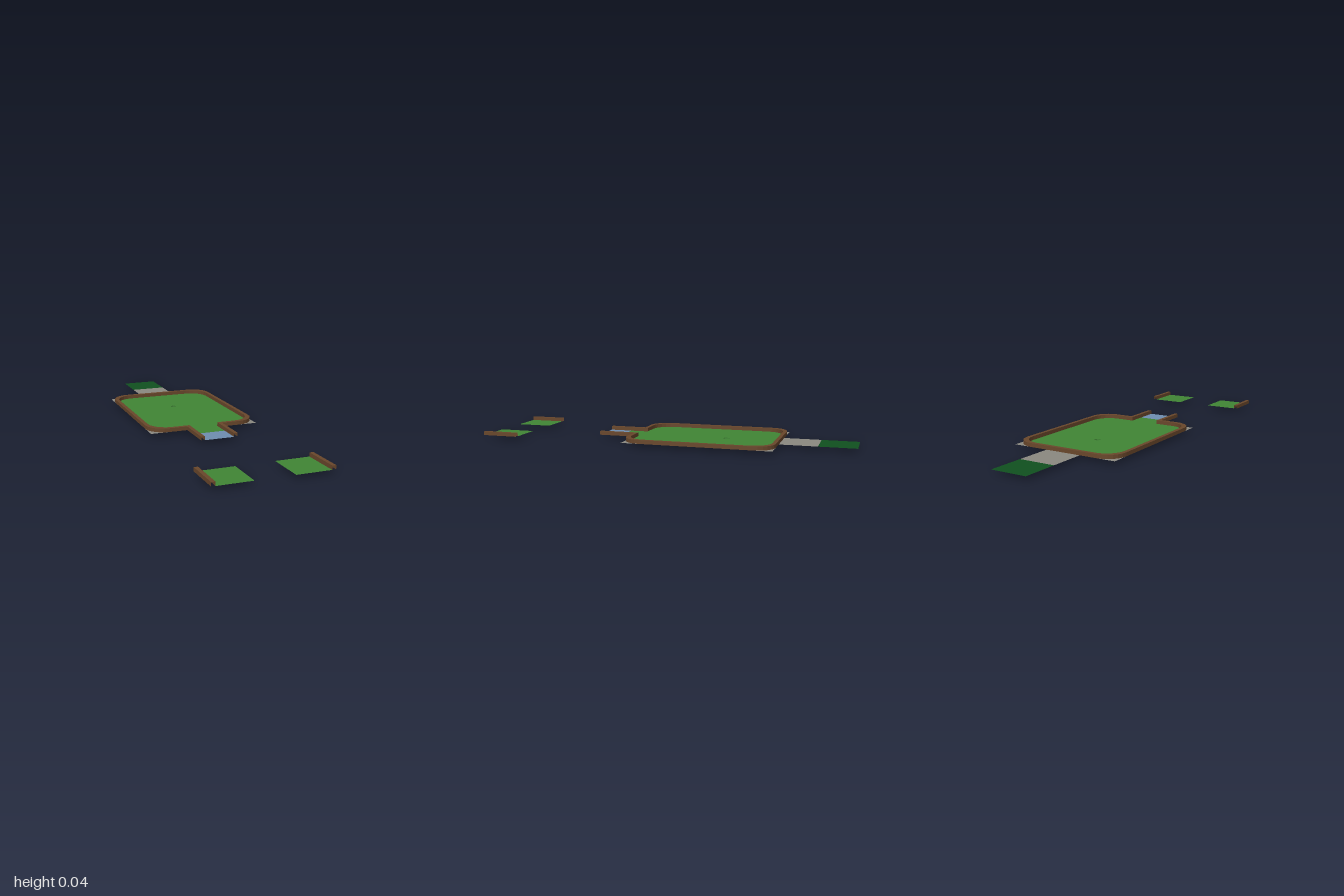
import * as THREE from 'three';
import { mergeGeometries } from 'three/addons/utils/BufferGeometryUtils.js';

const T = 0.1986, FLOOR = 0.02, TOP = 0.04, WALL = 0.02;   // tile size, levels, wall thickness
const X = 1.5 * T, NECK = T / 2;                           // half widths
const BACK = 1 - 2 * T, FRONT = BACK - 4 * T, END = FRONT - T; // plan coordinates, v = -z
const R = 0.1;

const mat = (color) => new THREE.MeshStandardMaterial({ color, side: THREE.DoubleSide, flatShading: true });
const green = mat(0x408535), darkGreen = mat(0x10501f), grey = mat(0x8b8880);
const blue = mat(0x6f8eb0), brown = mat(0x69472b);
const v2 = (x, v) => new THREE.Vector2(x, v);

// Quarter arc bulging towards the corner (x, v), from angle a
function arc(x, v, a) {
  const cx = x - Math.sign(x) * R, cv = v === BACK || v === BACK - WALL ? v - R : v + R;
  return Array.from({ length: 7 }, (_, i) => {
    const t = a + (i / 6) * Math.PI / 2;
    return v2(cx + R * Math.cos(t), cv + R * Math.sin(t));
  });
}

// Counter-clockwise outline of the green with its neck, inset by d
function outline(d) {
  const n = NECK - d, x = X - d, f = FRONT + d, b = BACK - d;
  return [v2(n, END), v2(n, f),
    ...arc(x, f, -Math.PI / 2), ...arc(x, b, 0), ...arc(-x, b, Math.PI / 2), ...arc(-x, f, Math.PI),
    v2(-n, f), v2(-n, END)];
}

function flat(shape, y) {
  return new THREE.ShapeGeometry(shape).rotateX(-Math.PI / 2).translate(0, y, 0);
}

// Vertical ribbon facing to the right of the path
function ribbon(pts, y0, y1) {
  const pos = [];
  for (let i = 0; i < pts.length - 1; i++) {
    const p = pts[i], q = pts[i + 1];
    pos.push(p.x, y0, -p.y, q.x, y0, -q.y, q.x, y1, -q.y);
    pos.push(p.x, y0, -p.y, q.x, y1, -q.y, p.x, y1, -p.y);
  }
  const g = new THREE.BufferGeometry();
  g.setAttribute('position', new THREE.Float32BufferAttribute(pos, 3));
  g.computeVertexNormals();
  return g;
}

// Kerb open at the ends and underneath: outer side, inner side and top
function kerb(outer, inner) {
  const back = [...inner].reverse();
  const top = flat(new THREE.Shape([...outer, ...back]), TOP).toNonIndexed();
  top.deleteAttribute('uv');
  return mergeGeometries([ribbon(outer, FLOOR, TOP), ribbon(back, FLOOR, TOP), top]);
}

export function createModel() {
  const group = new THREE.Group();
  const add = (name, geo, material) => {
    const m = new THREE.Mesh(geo, material);
    m.name = name;
    group.add(m);
    return m;
  };
  const patch = (name, x0, x1, v0, v1, material) =>
    add(name, flat(new THREE.Shape([v2(x0, v0), v2(x1, v0), v2(x1, v1), v2(x0, v1)]), FLOOR), material);

  const outer = outline(0), inner = outline(WALL);
  const blueEdge = END + 0.12, n = NECK - WALL;

  // Putting green with the cup opening
  const cupV = BACK - 1.5 * T, cupR = 0.0165;
  const ground = [...inner];
  ground[0] = v2(n, blueEdge);
  ground[ground.length - 1] = v2(-n, blueEdge);
  const shape = new THREE.Shape(ground);
  shape.holes.push(new THREE.Path(Array.from({ length: 8 }, (_, i) => {
    const a = -i * Math.PI / 4;
    return v2(cupR * Math.cos(a), cupV + cupR * Math.sin(a));
  })));
  add('puttingGreen', flat(shape, FLOOR), green);

  // Sunken cup
  add('cupWall', new THREE.CylinderGeometry(cupR, cupR, FLOOR, 8, 1, true), green)
    .position.set(0, FLOOR / 2, -cupV);
  add('cupBottom', new THREE.CircleGeometry(cupR, 8).rotateX(-Math.PI / 2), green)
    .position.set(0, 0, -cupV);

  // Kerb and start mat
  add('kerb', kerb(outer, inner), brown);
  patch('startMat', -n, n, END, blueEdge, blue);

  // Paving outside the rounded corners
  [[X, FRONT, -Math.PI / 2], [X, BACK, 0], [-X, BACK, Math.PI / 2], [-X, FRONT, Math.PI]].forEach(([x, v, a]) =>
    add('cornerPaving', flat(new THREE.Shape([v2(x, v), ...arc(x, v, a).reverse()]), FLOOR), grey));

  // Path and lawn behind
  patch('path', -NECK, NECK, BACK, BACK + T, grey);
  patch('lawn', -NECK, NECK, BACK + T, 1, darkGreen);

  // Two loose edge strips in front
  const near = -1, far = -1 + T, xi = X - WALL;
  patch('leftStrip', NECK, xi, near, far, green);
  patch('rightStrip', -xi, -NECK, near, far, green);
  add('leftStripKerb', kerb([v2(X, near), v2(X, far)], [v2(xi, near), v2(xi, far)]), brown);
  add('rightStripKerb', kerb([v2(-X, far), v2(-X, near)], [v2(-xi, far), v2(-xi, near)]), brown);
  return group;
}
